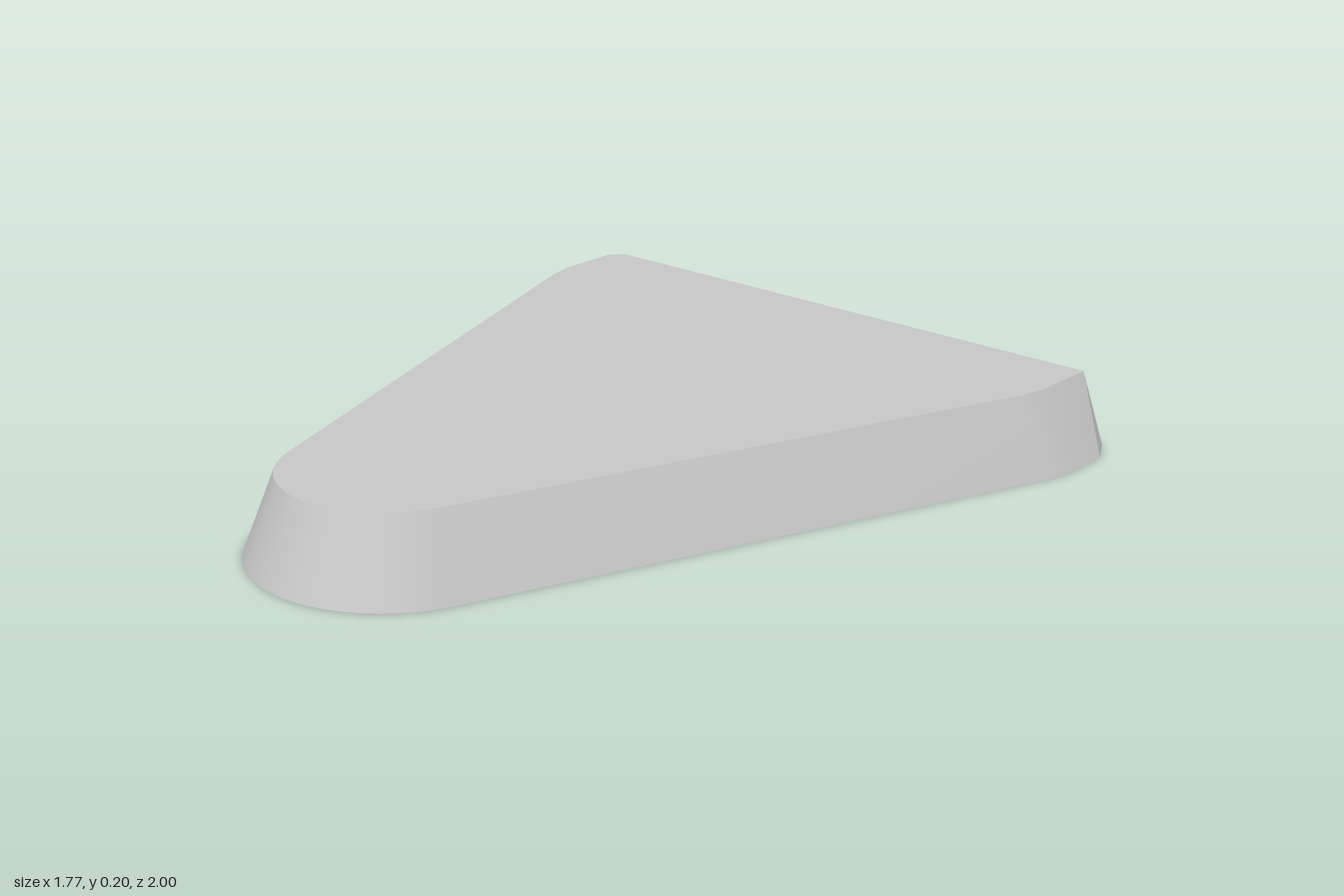
import * as THREE from 'three';
import { toCreasedNormals } from 'three/addons/utils/BufferGeometryUtils.js';

const HEIGHT = 0.2;

export function createModel() {
  const grey = new THREE.MeshStandardMaterial({ color: 0xc8c8c8 });
  grey.name = 'light grey';

  // Matching lower and upper outlines, from the right rear corner round the nose
  const lower = [], upper = [];
  const add = (bx, by, bz, tx, tz) => {
    lower.push(new THREE.Vector3(bx, by, bz));
    upper.push(new THREE.Vector3(tx, HEIGHT, tz));
  };

  // Right rear corner
  add(0.855, 0.01, -0.995, 0.797, -0.975);
  add(0.885, 0, -0.935, 0.797, -0.975);
  add(0.885, 0, -0.8, 0.797, -0.785);
  add(0.87, 0, -0.73, 0.78, -0.71);

  // Rounded nose, tangent to the straight flanks
  const steps = 20, start = Math.PI / 9;
  for (let i = 0; i <= steps; i++) {
    const a = start + (Math.PI - 2 * start) * i / steps;
    const c = Math.cos(a), s = Math.sin(a);
    add(0.34 * c, 0, 0.66 + 0.34 * s, 0.265 * c, 0.655 + 0.265 * s);
  }

  // Left rear corner, slightly different from the right
  add(-0.87, 0, -0.73, -0.78, -0.71);
  add(-0.885, 0, -0.8, -0.797, -0.785);
  add(-0.885, 0, -0.935, -0.797, -0.965);
  add(-0.86, 0.01, -0.99, -0.765, -1);

  const positions = [];
  const triangle = (a, b, c) => {
    if (a.equals(b) || b.equals(c) || c.equals(a)) return;
    for (const p of [a, b, c]) positions.push(p.x, p.y, p.z);
  };

  // Sloping walls and the back face
  const n = lower.length;
  for (let i = 0; i < n; i++) {
    const j = (i + 1) % n;
    triangle(lower[j], lower[i], upper[i]);
    triangle(lower[j], upper[i], upper[j]);
  }

  // Flat top
  for (let i = 1; i < n - 1; i++) triangle(upper[0], upper[i + 1], upper[i]);

  // Flat underside with a slightly raised strip along the back
  for (let i = 2; i < n - 2; i++) triangle(lower[1], lower[i], lower[i + 1]);
  triangle(lower[0], lower[1], lower[n - 2]);
  triangle(lower[0], lower[n - 2], lower[n - 1]);

  const geometry = new THREE.BufferGeometry();
  geometry.setAttribute('position', new THREE.Float32BufferAttribute(positions, 3));
  const body = new THREE.Mesh(toCreasedNormals(geometry, 0.3), grey);
  body.name = 'taperedPlate';

  const group = new THREE.Group();
  group.name = 'roundedTriangularPlate';
  group.add(body);
  return group;
}
